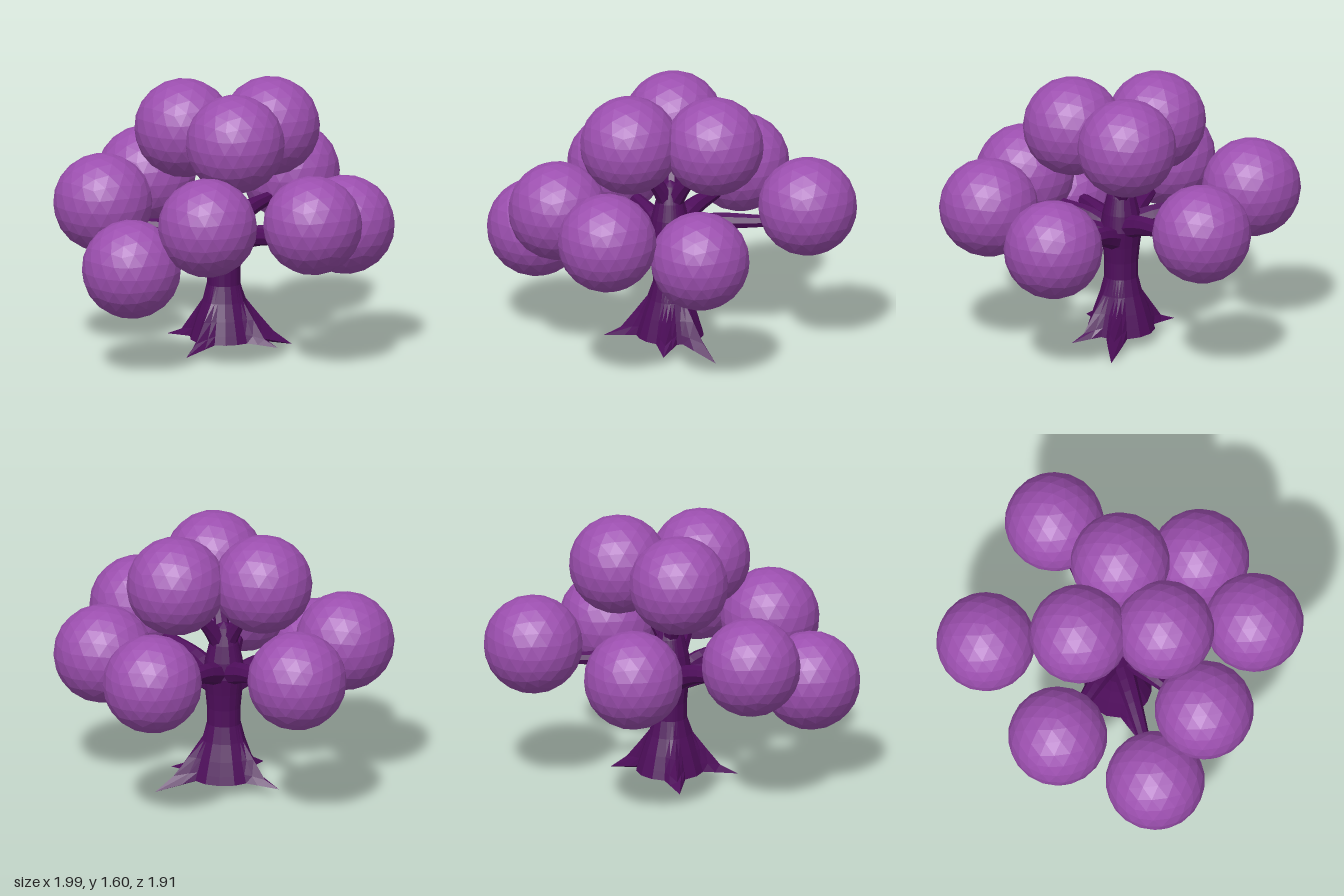
import * as THREE from 'three';

const foliage = new THREE.MeshStandardMaterial({ color: 0x9c4faf, flatShading: true });
foliage.name = 'purple foliage';
const bark = new THREE.MeshStandardMaterial({ color: 0x4f0e5c, flatShading: true });
bark.name = 'dark purple bark';

// centre of each leaf ball, and the height where its branch leaves the trunk
const RADIUS = 0.292;
const BALLS = [
  [-0.39, 0.9, -0.67, 0.7], [0.46, 0.9, -0.67, 0.7],
  [-0.22, 1.31, -0.14, 0.85], [0.29, 1.31, -0.14, 0.85], [0.04, 1.31, 0.29, 0.85],
  [-0.71, 0.9, -0.02, 0.62], [0.7, 0.78, 0.17, 0.62],
  [-0.6, 0.64, 0.57, 0.62], [-0.16, 0.9, 0.66, 0.62], [0.46, 0.9, 0.66, 0.62],
];

// root direction in degrees (x towards z), reach, height of the tip
const ROOTS = [[-12, 0.42, 0.0], [34, 0.36, 0.05], [129, 0.4, 0.03], [215, 0.38, 0.05]];

// trunk rings: height, radius, share of the root reach
const RINGS = [
  [0.07, 0.2, 1], [0.12, 0.185, 0.55], [0.2, 0.16, 0.25], [0.3, 0.125, 0.05], [0.4, 0.1, 0],
  [0.5, 0.1, 0], [0.6, 0.11, 0], [0.7, 0.125, 0], [0.8, 0.11, 0], [0.9, 0.085, 0], [1.0, 0.05, 0],
];

function trunkGeometry() {
  const angles = [72, 92, 172, 255, 281, 306];
  for (const [a] of ROOTS) for (const d of [-18, -9, 0, 9, 18]) angles.push(a + d);
  angles.sort((a, b) => a - b);
  const n = angles.length, pos = [], index = [];
  RINGS.forEach(([y, r, share], k) => {
    for (const deg of angles) {
      let radius = r, height = y;
      for (const [a, reach, tip] of ROOTS) {
        const w = Math.pow(Math.max(0, 1 - Math.abs(deg - a) / 18), 1.6);
        radius += w * share * (reach - 0.2);
        if (k === 0) height += w * (tip - y);
        if (k === 1) height -= w * 0.03;
      }
      const t = THREE.MathUtils.degToRad(deg);
      pos.push(radius * Math.cos(t), height, radius * Math.sin(t));
    }
  });
  for (let k = 0; k < RINGS.length - 1; k++) {
    for (let i = 0; i < n; i++) {
      const a = k * n + i, b = k * n + (i + 1) % n;
      index.push(a, a + n, b, b, a + n, b + n);
    }
  }
  // underside and top caps
  const low = pos.length / 3, top = low + 1, last = (RINGS.length - 1) * n;
  pos.push(0, 0.075, 0, 0, 1.03, 0);
  for (let i = 0; i < n; i++) {
    const j = (i + 1) % n;
    index.push(low, i, j, top, last + j, last + i);
  }
  const g = new THREE.BufferGeometry();
  g.setAttribute('position', new THREE.Float32BufferAttribute(pos, 3));
  g.setIndex(index);
  g.computeVertexNormals();
  return g;
}

// tube that narrows from r0 to r1 along its path
function taperedTube(points, r0, r1, segments = 8, sides = 8) {
  const curve = new THREE.CatmullRomCurve3(points);
  const g = new THREE.TubeGeometry(curve, segments, 1, sides);
  const p = g.attributes.position, v = new THREE.Vector3();
  for (let i = 0; i < p.count; i++) {
    const t = Math.floor(i / (sides + 1)) / segments;
    const c = curve.getPointAt(t);
    v.fromBufferAttribute(p, i).sub(c).multiplyScalar(THREE.MathUtils.lerp(r0, r1, t)).add(c);
    p.setXYZ(i, v.x, v.y, v.z);
  }
  g.computeVertexNormals();
  return g;
}

export function createModel() {
  const tree = new THREE.Group();
  tree.name = 'tree';

  const trunk = new THREE.Mesh(trunkGeometry(), bark);
  trunk.name = 'trunk';
  tree.add(trunk);

  // balls are turned so that one corner points straight up
  const ballGeometry = new THREE.IcosahedronGeometry(RADIUS, 3);
  ballGeometry.rotateZ(Math.atan(2 / (1 + Math.sqrt(5))));

  const branches = new THREE.Group();
  branches.name = 'branches';
  const crown = new THREE.Group();
  crown.name = 'crown';
  tree.add(branches, crown);

  for (const [x, y, z, startY] of BALLS) {
    const ball = new THREE.Mesh(ballGeometry, foliage);
    ball.name = 'leafBall';
    ball.position.set(x, y, z);
    crown.add(ball);

    const start = new THREE.Vector3(0, startY, 0);
    const upper = y > 1.2;
    const center = new THREE.Vector3(x, upper ? y : y * 0.5 + 0.39, z);
    const length = center.distanceTo(start);
    const end = start.clone().lerp(center, (length - RADIUS + 0.04) / length);
    const bend = start.clone().lerp(end, 0.45);
    bend.y += upper ? 0.02 : 0.035;
    const branch = new THREE.Mesh(taperedTube([start, bend, end], upper ? 0.06 : 0.075, 0.036), bark);
    branch.name = 'branch';
    branches.add(branch);
  }
  return tree;
}
